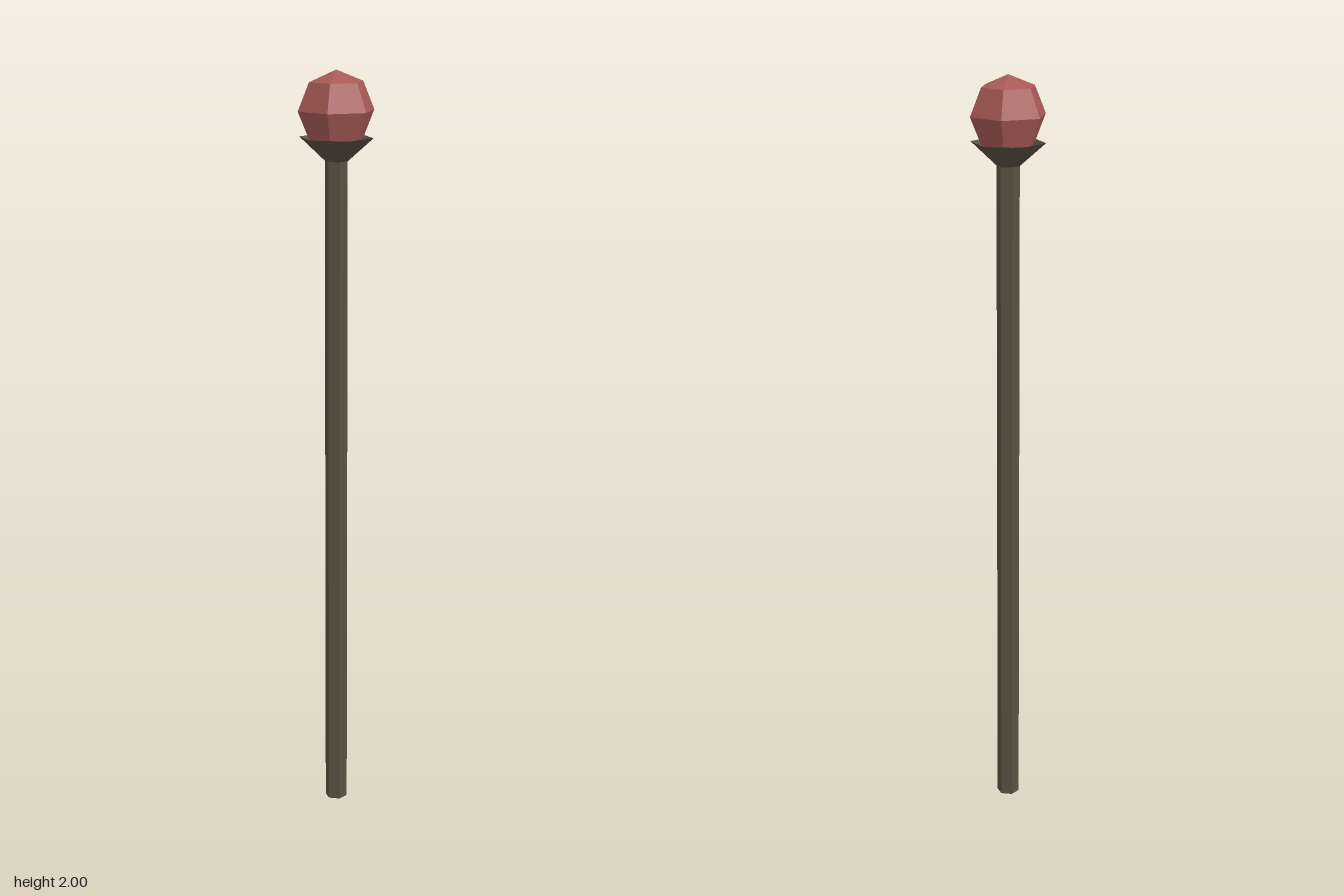
import * as THREE from 'three';

export function createModel() {
  const group = new THREE.Group();
  const wood = new THREE.MeshStandardMaterial({ color: 0x5a5140, flatShading: true, side: THREE.DoubleSide });
  const red = new THREE.MeshStandardMaterial({ color: 0xa85a57, flatShading: true });

  const add = (name, geometry, material, y, turn) => {
    const mesh = new THREE.Mesh(geometry, material);
    mesh.name = name;
    mesh.position.y = y;
    mesh.rotation.y = turn;
    group.add(mesh);
  };

  const sides = 6;
  const shaftTop = 1.77, rim = 1.83, orbRadius = 0.102;

  // Long hexagonal shaft, corners on the x axis
  add('shaft', new THREE.CylinderGeometry(0.03, 0.03, shaftTop, sides), wood, shaftTop / 2, Math.PI / 2);

  // Open flared cup holding the orb
  add('cup', new THREE.CylinderGeometry(0.097, 0.03, rim - shaftTop, sides, 1, true), wood,
    (shaftTop + rim) / 2, Math.PI / 2);

  // Faceted orb, corners on the z axis
  add('orb', new THREE.SphereGeometry(orbRadius, sides, 4), red, 2 - orbRadius, Math.PI / 2);

  return group;
}
